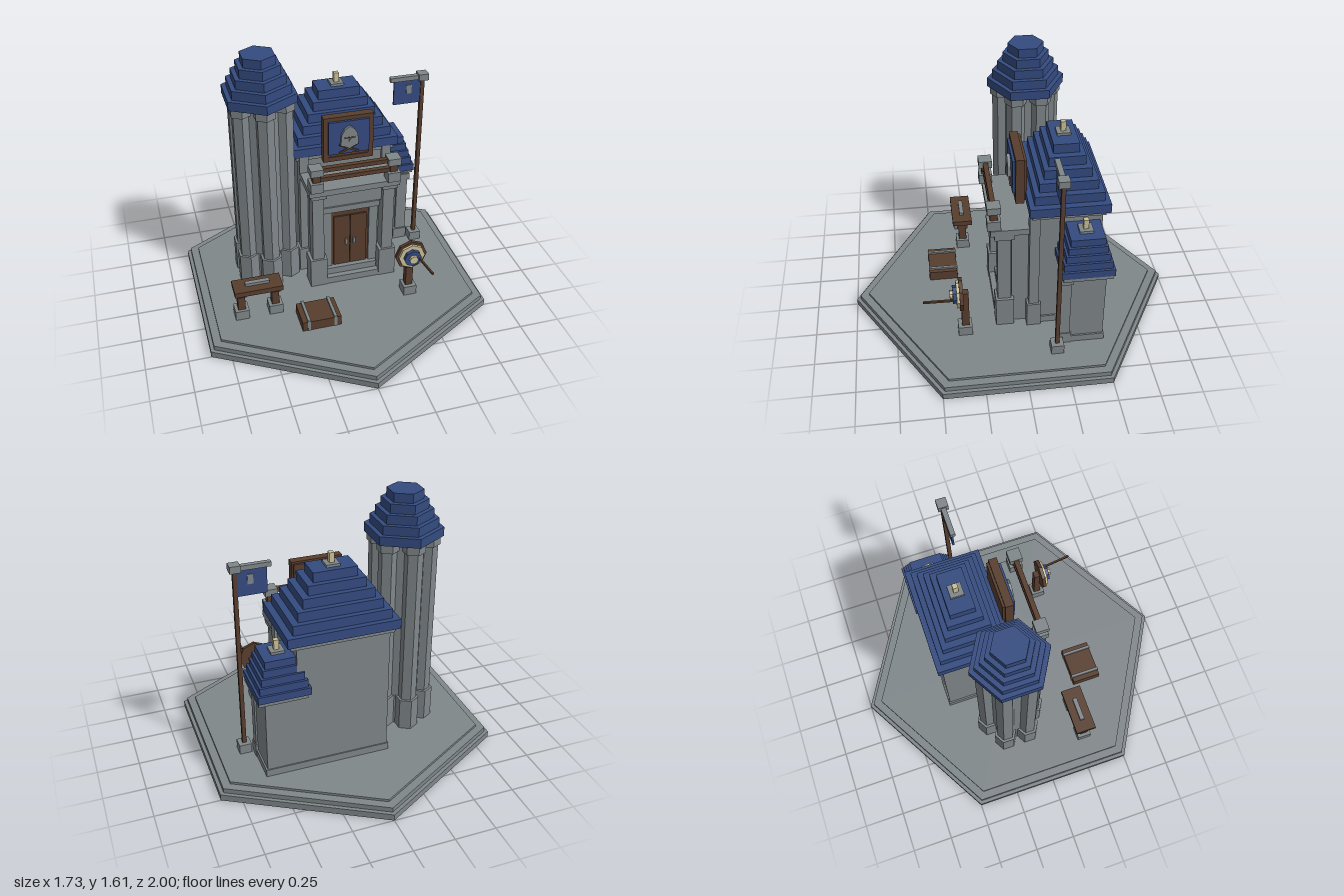
import * as THREE from 'three';

const mat = (name, color) => {
  const m = new THREE.MeshStandardMaterial({ color });
  m.name = name;
  return m;
};

export function createModel() {
  const stone = mat('stone grey', 0x80878a);
  const blue = mat('roof blue', 0x344b80);
  const wood = mat('dark wood', 0x583e2e);
  const cream = mat('cream', 0xcbc198);

  const model = new THREE.Group();
  model.name = 'castleKeep';
  const part = (name) => {
    const g = new THREE.Group();
    g.name = name;
    model.add(g);
    return g;
  };
  const add = (g, name, geo, m) => {
    const mesh = new THREE.Mesh(geo, m);
    mesh.name = name;
    g.add(mesh);
    return mesh;
  };
  // box given by its min and max on each axis
  const box = (g, name, m, x0, x1, y0, y1, z0, z1) => {
    const b = add(g, name, new THREE.BoxGeometry(x1 - x0, y1 - y0, z1 - z0), m);
    b.position.set((x0 + x1) / 2, (y0 + y1) / 2, (z0 + z1) / 2);
    return b;
  };
  // box centred on x, z
  const block = (g, name, m, x, z, w, d, y0, y1) =>
    box(g, name, m, x - w / 2, x + w / 2, y0, y1, z - d / 2, z + d / 2);
  // faceted upright prism
  const prism = (g, name, m, x, z, r, y0, y1, sides = 6) => {
    const geo = new THREE.CylinderGeometry(r, r, y1 - y0, sides).toNonIndexed();
    geo.computeVertexNormals();
    const p = add(g, name, geo, m);
    p.position.set(x, (y0 + y1) / 2, z);
    return p;
  };
  const lerp = THREE.MathUtils.lerp;
  const G = 0.085; // ground level on the plinth

  // stepped hexagonal plinth
  const base = part('plinth');
  [[1, 0, 0.04], [0.975, 0.04, 0.07], [0.92, 0.07, G]].forEach(([r, a, b]) =>
    prism(base, 'plinthStep', stone, 0, 0, r, a, b));

  // tower: hexagonal core ringed by six hexagonal columns
  const tower = part('tower');
  const tx = -0.39, tz = -0.138;
  prism(tower, 'towerCore', stone, tx, tz, 0.155, G, 1.33);
  for (let i = 0; i < 6; i++) {
    const a = i * Math.PI / 3;
    const x = tx + Math.sin(a) * 0.147, z = tz + Math.cos(a) * 0.147;
    prism(tower, 'towerColumn', stone, x, z, 0.056, G, 1.33);
    prism(tower, 'columnBase', stone, x, z, 0.072, G, 0.29);
    prism(tower, 'columnCapital', stone, x, z, 0.068, 1.275, 1.328);
  }
  for (let i = 0; i < 5; i++) {
    prism(tower, 'towerRoofTier', blue, tx, tz, 0.232 - i * 0.031, 1.328 + i * 0.0555, 1.328 + (i + 1) * 0.0555);
  }

  // stepped rectangular roof with a finial
  const steppedRoof = (g, x, z, bottom, top, n, y0, y1) => {
    const h = (y1 - y0) / n;
    for (let i = 0; i < n; i++) {
      const t = i / (n - 1);
      block(g, 'roofTier', blue, x, z, 2 * lerp(bottom[0], top[0], t), 2 * lerp(bottom[1], top[1], t), y0 + i * h, y0 + (i + 1) * h);
    }
    block(g, 'finialBase', stone, x, z, 0.08, 0.08, y1, y1 + 0.016);
    block(g, 'finial', cream, x, z, 0.03, 0.03, y1 + 0.016, y1 + 0.075);
  };

  // main hall
  const hall = part('hall');
  const hx = 0.112;
  box(hall, 'hallWalls', stone, -0.17, 0.385, G, 0.93, -0.485, -0.085);
  box(hall, 'hallFooting', stone, -0.18, 0.395, G, 0.13, -0.492, -0.08);
  box(hall, 'hallCornice', stone, -0.195, 0.42, 0.9, 0.93, -0.495, -0.07);
  for (const s of [-1, 1]) {
    block(hall, 'cornerPilaster', stone, hx + s * 0.262, -0.09, 0.055, 0.06, G, 0.93);
    block(hall, 'pilasterBase', stone, hx + s * 0.262, -0.09, 0.08, 0.085, G, 0.25);
  }
  steppedRoof(hall, hx, -0.285, [0.332, 0.232], [0.13, 0.075], 6, 0.93, 1.28);

  // porch with pillars, door, steps and balcony
  const porch = part('porch');
  box(porch, 'porchWall', stone, -0.13, 0.355, G, 0.78, -0.1, 0.04);
  box(porch, 'porchLintel', stone, -0.08, 0.305, 0.64, 0.78, 0.04, 0.09);
  box(porch, 'porchSlab', stone, -0.175, 0.39, 0.778, 0.817, -0.085, 0.165);
  for (const s of [-1, 1]) {
    const x = hx + s * 0.223;
    block(porch, 'pillar', stone, x, 0.085, 0.072, 0.08, G, 0.78);
    block(porch, 'pillarBase', stone, x, 0.083, 0.108, 0.11, G, 0.285);
    block(porch, 'pillarCapital', stone, x, 0.085, 0.1, 0.115, 0.742, 0.78);
    const px = hx - 0.004 + s * 0.238;
    block(porch, 'postFoot', stone, px, 0.143, 0.078, 0.08, 0.817, 0.88);
    block(porch, 'postShaft', wood, px, 0.143, 0.045, 0.045, 0.88, 0.93);
    block(porch, 'postCap', stone, px, 0.143, 0.078, 0.08, 0.93, 0.975);
  }
  box(porch, 'lowerRail', wood, -0.15, 0.365, 0.878, 0.905, 0.128, 0.158);
  box(porch, 'upperRail', wood, -0.13, 0.345, 0.94, 0.967, 0.128, 0.158);
  box(porch, 'doorHead', stone, -0.07, 0.285, 0.602, 0.642, 0.03, 0.1);
  box(porch, 'doorFrame', wood, -0.01, 0.228, 0.17, 0.602, 0.03, 0.06);
  for (const s of [-1, 1]) {
    block(porch, 'doorJamb', stone, 0.108 + s * 0.148, 0.05, 0.055, 0.05, G, 0.602);
    block(porch, 'doorLeaf', wood, 0.108 + s * 0.054, 0.063, 0.104, 0.014, 0.175, 0.545);
    block(porch, 'doorHandle', stone, 0.108 + s * 0.025, 0.075, 0.015, 0.014, 0.33, 0.372);
  }
  box(porch, 'lowerStep', stone, -0.07, 0.28, G, 0.13, 0.03, 0.135);
  box(porch, 'upperStep', stone, -0.055, 0.275, 0.13, 0.175, 0.03, 0.1);

  // framed crest board above the balcony
  const crest = part('crestBoard');
  box(crest, 'crestBacking', wood, -0.035, 0.255, 0.925, 1.195, -0.06, 0);
  box(crest, 'crestPanel', blue, -0.017, 0.235, 0.965, 1.182, -0.01, 0.02);
  for (const s of [-1, 1]) block(crest, 'frameSide', wood, 0.11 + s * 0.14, -0.02, 0.03, 0.05, 0.91, 1.207);
  box(crest, 'frameTop', wood, -0.045, 0.265, 1.182, 1.207, -0.045, 0.005);
  box(crest, 'frameBottom', wood, -0.045, 0.265, 0.91, 0.94, -0.045, 0.005);
  const helm = new THREE.Shape([[-0.055, 0.02], [-0.05, 0.09], [-0.03, 0.125], [0, 0.145], [0.03, 0.125], [0.05, 0.09],
    [0.055, 0.02], [0.025, 0.01], [0, -0.005], [-0.025, 0.01]].reverse().map(([x, y]) => new THREE.Vector2(x, y)));
  add(crest, 'helmet', new THREE.ExtrudeGeometry(helm, { depth: 0.02, bevelEnabled: false }), stone)
    .position.set(0.108, 1.01, 0.018);
  box(crest, 'visorSlit', wood, 0.075, 0.141, 1.075, 1.084, 0.036, 0.041);
  box(crest, 'noseGuard', stone, 0.102, 0.114, 1.015, 1.07, 0.036, 0.045);
  for (const s of [-1, 1]) {
    const blade = block(crest, 'crossedBlade', wood, 0.108, 0.024, 0.13, 0.008, 0.996, 1.008);
    blade.rotation.z = s * 0.45;
  }

  // side annex
  const annex = part('annex');
  box(annex, 'annexWalls', stone, 0.36, 0.575, G, 0.61, -0.485, -0.24);
  box(annex, 'annexFooting', stone, 0.36, 0.585, G, 0.13, -0.492, -0.235);
  box(annex, 'annexCornice', stone, 0.33, 0.62, 0.592, 0.617, -0.515, -0.225);
  block(annex, 'annexPilaster', stone, 0.55, -0.25, 0.07, 0.06, G, 0.6);
  block(annex, 'annexPilasterBase', stone, 0.545, -0.25, 0.09, 0.08, G, 0.16);
  block(annex, 'annexPilasterCap', stone, 0.55, -0.25, 0.095, 0.075, 0.55, 0.592);
  steppedRoof(annex, 0.468, -0.368, [0.155, 0.155], [0.095, 0.1], 5, 0.615, 0.845);

  // flagpole
  const flag = part('flagpole');
  block(flag, 'poleBase', stone, 0.638, -0.197, 0.075, 0.075, G, 0.145);
  block(flag, 'pole', wood, 0.638, -0.197, 0.024, 0.024, 0.145, 1.285);
  block(flag, 'poleCap', stone, 0.638, -0.197, 0.062, 0.062, 1.283, 1.325);
  box(flag, 'flagArm', stone, 0.43, 0.61, 1.287, 1.315, -0.212, -0.182);
  box(flag, 'flagCloth', blue, 0.455, 0.65, 1.128, 1.287, -0.203, -0.191);
  box(flag, 'flagPatch', stone, 0.535, 0.568, 1.198, 1.257, -0.208, -0.186);

  // work table
  const table = part('table');
  box(table, 'tableTop', wood, -0.68, -0.387, 0.275, 0.308, 0.215, 0.343);
  box(table, 'tool', stone, -0.607, -0.46, 0.308, 0.326, 0.264, 0.292);
  for (const x of [-0.638, -0.43]) {
    block(table, 'tableFoot', stone, x, 0.28, 0.085, 0.085, G, 0.147);
    block(table, 'tableLeg', wood, x, 0.28, 0.045, 0.05, 0.147, 0.245);
    block(table, 'legBracket', wood, x, 0.28, 0.06, 0.07, 0.245, 0.275);
  }

  // banded chest
  const chest = part('chest');
  box(chest, 'chestBody', wood, -0.315, -0.077, G, 0.148, 0.342, 0.522);
  for (const x of [-0.275, -0.113]) block(chest, 'chestBand', stone, x, 0.432, 0.018, 0.186, G, 0.16);

  // practice target with an arrow in it
  const target = part('target');
  block(target, 'targetFoot', stone, 0.412, 0.332, 0.082, 0.085, G, 0.147);
  block(target, 'targetPost', wood, 0.41, 0.328, 0.045, 0.045, 0.147, 0.4);
  [[0.1, 0.34, 0.362, wood], [0.083, 0.35, 0.378, cream], [0.055, 0.36, 0.4, blue], [0.028, 0.38, 0.417, cream]]
    .forEach(([r, a, b, m]) => {
      const ring = prism(target, 'targetRing', m, 0, 0, r, 0, b - a, 8);
      ring.rotation.x = Math.PI / 2;
      ring.position.set(0.41, 0.385, (a + b) / 2);
    });
  const from = new THREE.Vector3(0.45, 0.373, 0.36), to = new THREE.Vector3(0.468, 0.393, 0.575);
  const arrow = add(target, 'arrow', new THREE.BoxGeometry(0.012, 0.012, from.distanceTo(to)), wood);
  arrow.position.lerpVectors(from, to, 0.5);
  arrow.lookAt(to);

  return model;
}
